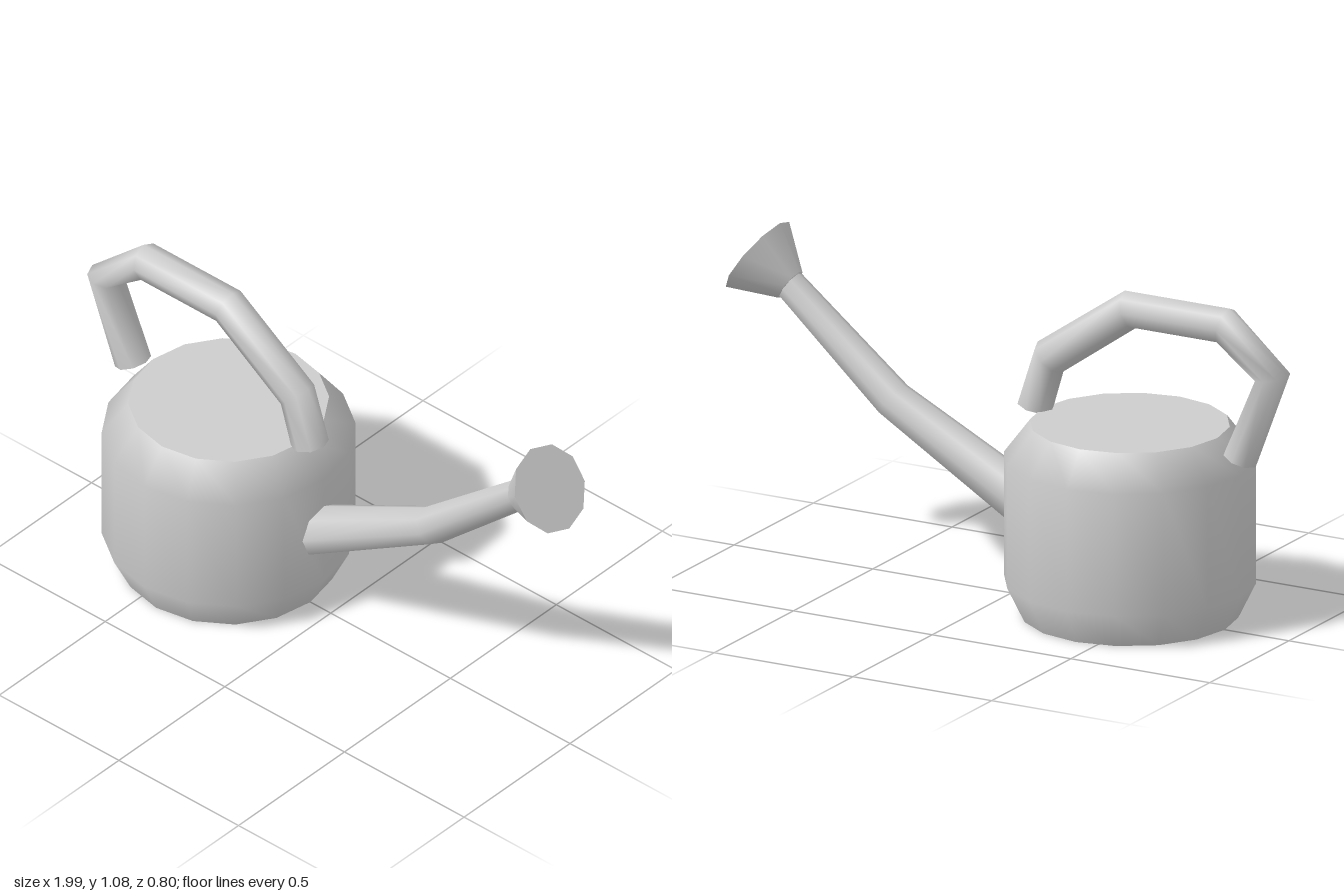
import * as THREE from 'three';

const metal = new THREE.MeshStandardMaterial({ color: 0xcccccc });
metal.name = 'grey metal';

// Smooth tube with flat caps. Each ring is [outerX, outerY, innerX, innerY, halfDepth].
function tube(name, rings, sides) {
  const pos = [], index = [];
  const ring = ([ax, ay, bx, by, rz]) => {
    const cx = (ax + bx) / 2, cy = (ay + by) / 2;
    for (let j = 0; j < sides; j++) {
      const t = (j / sides) * Math.PI * 2, c = Math.cos(t);
      pos.push(cx + (ax - cx) * c, cy + (ay - cy) * c, rz * Math.sin(t));
    }
  };
  rings.forEach(ring);
  for (let i = 0; i < rings.length - 1; i++) {
    for (let j = 0; j < sides; j++) {
      const k = (j + 1) % sides;
      const a = i * sides + j, b = i * sides + k;
      index.push(a, b, a + sides, b, b + sides, a + sides);
    }
  }
  // End caps have their own vertices so their edges stay sharp
  const start = rings.length * sides, end = start + sides;
  ring(rings[0]);
  ring(rings[rings.length - 1]);
  for (let j = 1; j < sides - 1; j++) {
    index.push(start, start + j + 1, start + j, end, end + j, end + j + 1);
  }
  const geometry = new THREE.BufferGeometry();
  geometry.setAttribute('position', new THREE.Float32BufferAttribute(pos, 3));
  geometry.setIndex(index);
  geometry.computeVertexNormals();
  const mesh = new THREE.Mesh(geometry, metal);
  mesh.name = name;
  return mesh;
}

// Sixteen-sided body with a closed top and bottom
function body() {
  const group = new THREE.Group();
  group.name = 'body';
  const profile = [[0.342, 0], [0.398, 0.115], [0.398, 0.515], [0.315, 0.625]];
  const wall = new THREE.Mesh(
    new THREE.LatheGeometry(profile.map(([r, y]) => new THREE.Vector2(r, y)), 16), metal);
  wall.name = 'bodyWall';
  group.add(wall);
  for (const [name, r, y, turn] of [['bodyTop', 0.315, 0.625, -1], ['bodyBottom', 0.342, 0, 1]]) {
    const disc = new THREE.Mesh(new THREE.CircleGeometry(r, 16), metal);
    disc.name = name;
    disc.rotation.x = turn * Math.PI / 2;
    disc.position.y = y;
    group.add(disc);
  }
  group.position.x = -0.427;
  return group;
}

export function createModel() {
  const model = new THREE.Group();
  model.name = 'wateringCan';
  model.add(body());

  // Arched handle, from the back end over the top to the spout side
  model.add(tube('handle', [
    [-0.88, 0.551, -0.773, 0.594, 0.06],
    [-0.997, 0.866, -0.885, 0.845, 0.06],
    [-0.783, 1.057, -0.757, 0.939, 0.06],
    [-0.409, 1.057, -0.447, 0.939, 0.06],
    [-0.094, 0.84, -0.184, 0.754, 0.06],
    [-0.029, 0.644, -0.144, 0.615, 0.06],
  ], 8));

  // Tapering bent spout
  model.add(tube('spout', [
    [-0.113, 0.367, -0.032, 0.222, 0.083],
    [0.388, 0.62, 0.463, 0.519, 0.064],
    [0.768, 0.928, 0.825, 0.845, 0.051],
  ], 8));

  // Flared sprinkler head
  model.add(tube('sprinklerHead', [
    [0.766, 0.931, 0.827, 0.84, 0.055],
    [0.834, 1.083, 0.997, 0.852, 0.144],
  ], 10));

  return model;
}
